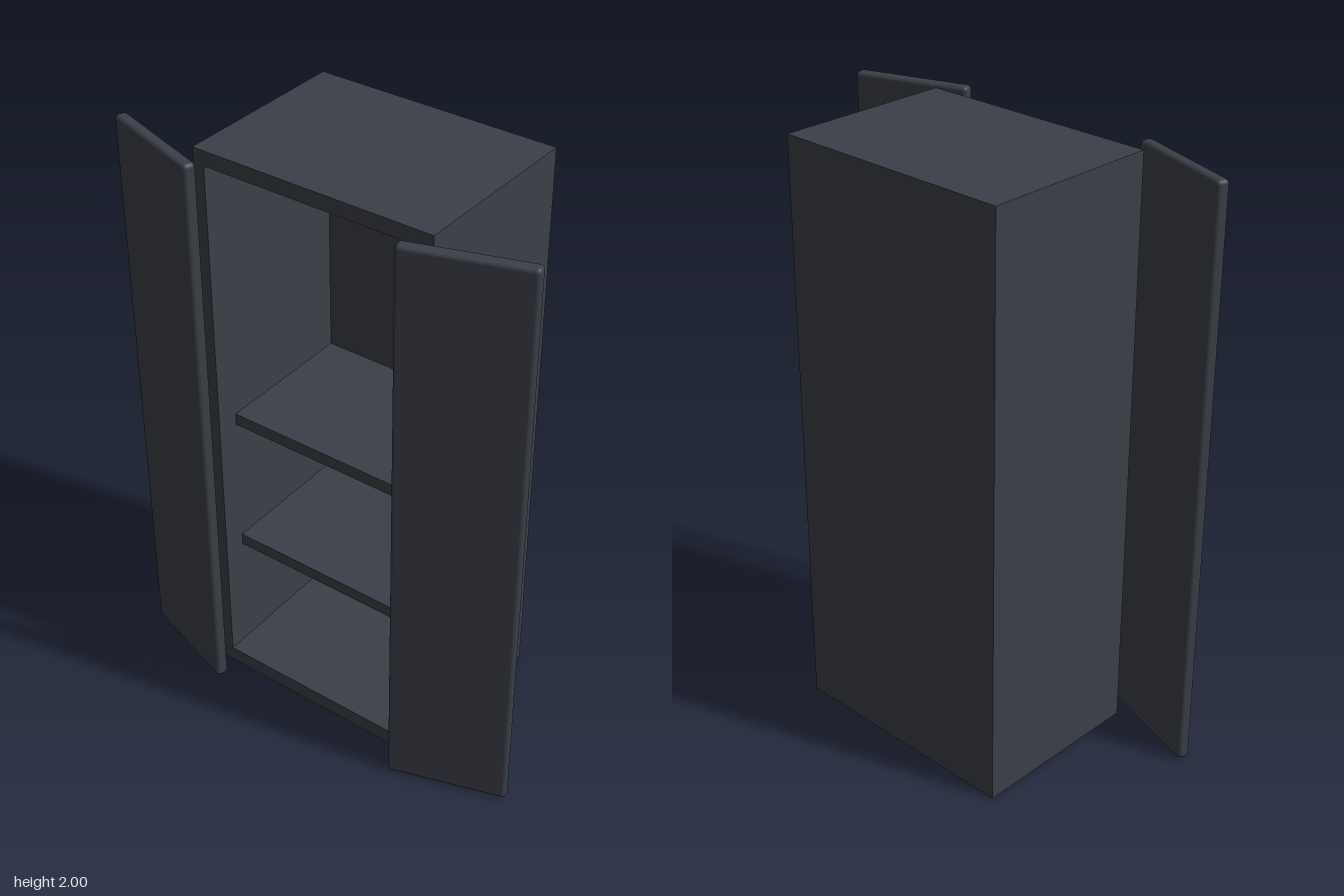
import * as THREE from 'three';
import { RoundedBoxGeometry } from 'three/addons/geometries/RoundedBoxGeometry.js';

export function createModel() {
  const group = new THREE.Group();
  group.name = 'wardrobe';
  const slate = new THREE.MeshStandardMaterial({ color: 0x3b3f47 });
  const metal = new THREE.MeshStandardMaterial({ color: 0x807f76 });

  const add = (name, geometry, material, x, y, z) => {
    const mesh = new THREE.Mesh(geometry, material);
    mesh.name = name;
    mesh.position.set(x, y, z);
    group.add(mesh);
    return mesh;
  };

  // Carcass: sides, top and floor as one open frame
  const halfWidth = 0.42, wall = 0.04, back = -0.36, front = 0.255;
  const inner = halfWidth - wall, floorTop = 0.055, ceiling = 1.95;
  const rectangle = (Type, x, y0, y1) => new Type([
    new THREE.Vector2(-x, y0), new THREE.Vector2(x, y0),
    new THREE.Vector2(x, y1), new THREE.Vector2(-x, y1),
  ]);
  const outline = rectangle(THREE.Shape, halfWidth, 0, 2);
  outline.holes.push(rectangle(THREE.Path, inner, floorTop, ceiling));
  add('carcass', new THREE.ExtrudeGeometry(outline, { depth: front - back, bevelEnabled: false }),
    slate, 0, 0, back);

  // Back panel set into the frame
  const backThickness = 0.03;
  add('backPanel', new THREE.BoxGeometry(inner * 2, ceiling - floorTop, backThickness),
    slate, 0, (ceiling + floorTop) / 2, back + backThickness / 2);

  // Shelves stop short of the front
  const shelfBack = back + backThickness, shelfFront = 0.175;
  for (const y of [0.5, 1.003]) {
    add('shelf', new THREE.BoxGeometry(inner * 2, 0.042, shelfFront - shelfBack),
      slate, 0, y, (shelfFront + shelfBack) / 2);
  }

  // Hanging rail
  add('hangingRail', new THREE.BoxGeometry(inner * 2, 0.037, 0.04), metal, 0, 1.778, -0.04);

  // Doors swung ajar on both sides
  for (const side of [-1, 1]) {
    const door = add(side > 0 ? 'leftDoor' : 'rightDoor',
      new RoundedBoxGeometry(0.4, 1.995, 0.042, 3, 0.014), slate, side * 0.546, 1.0025, 0.278);
    door.rotation.y = side * THREE.MathUtils.degToRad(18);
  }
  return group;
}
